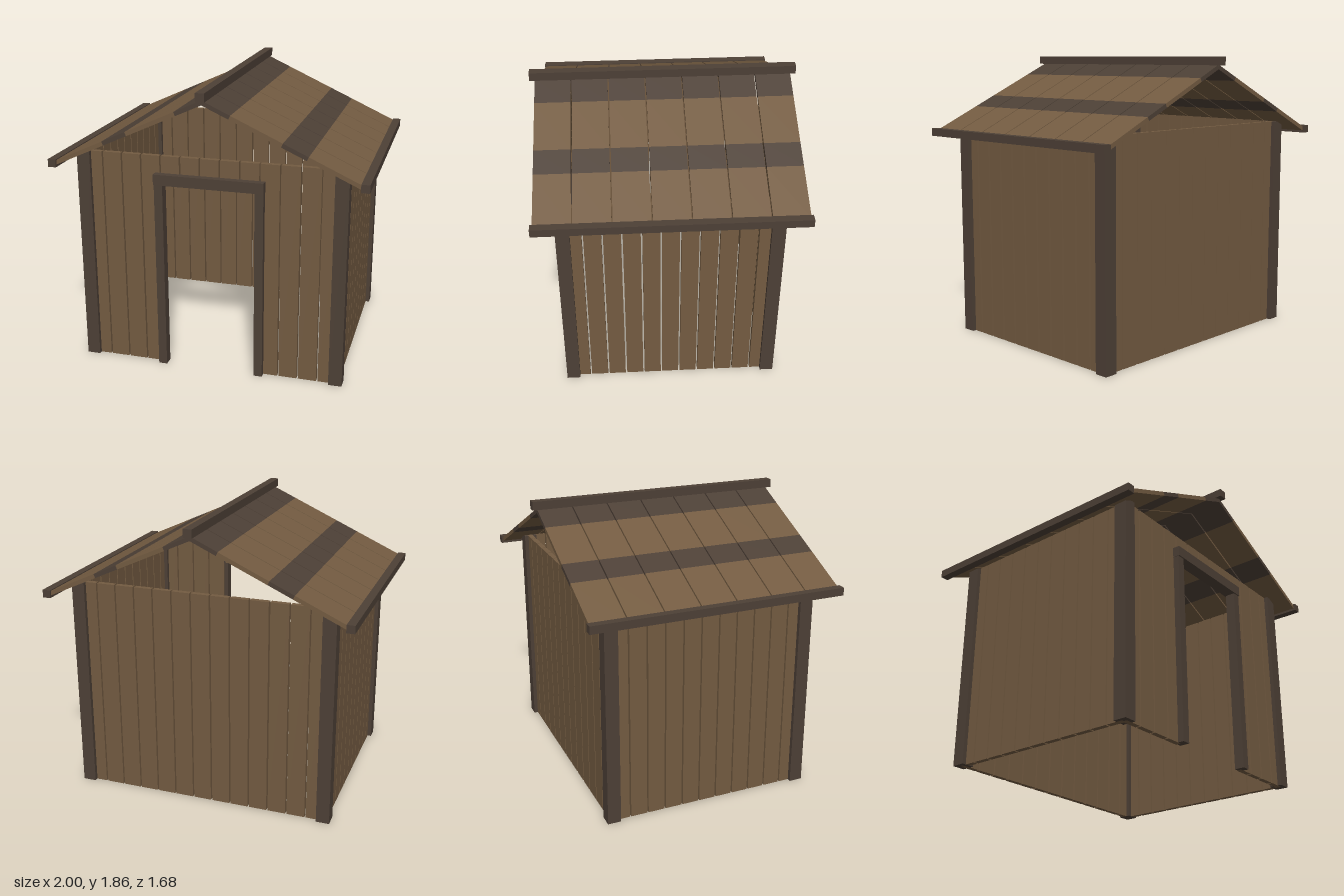
import * as THREE from 'three';

const wood = new THREE.MeshStandardMaterial({ color: 0x735b41 });
wood.name = 'plankBrown';
const dark = new THREE.MeshStandardMaterial({ color: 0x4d4036 });
dark.name = 'beamDarkBrown';

const WALL_TOP = 1.415, POST_X = 0.822, POST_Z = 0.649, POST = 0.086, THICK = 0.034;

// box given by its size and centre
function box(parent, name, material, size, centre) {
  const mesh = new THREE.Mesh(new THREE.BoxGeometry(...size), material);
  mesh.position.set(...centre);
  mesh.name = name;
  parent.add(mesh);
  return mesh;
}

function group(parent, name) {
  const g = new THREE.Group();
  g.name = name;
  parent.add(g);
  return g;
}

// row of upright planks along x; bottomOf(i) gives the foot height of plank i from the middle
function plankWall(parent, name, half, pitch, bottomOf) {
  const wall = group(parent, name);
  for (let i = -half; i <= half; i++) {
    const y0 = bottomOf(i);
    box(wall, 'wallPlank', wood, [pitch - 0.01, WALL_TOP - y0, THICK], [i * pitch, (y0 + WALL_TOP) / 2, 0]);
  }
  return wall;
}

// one roof slope towards +x; each board carries two dark bands
function roofSlope(parent, name) {
  const slope = group(parent, name);
  const pitch = 0.2325, angle = Math.atan(0.455), c = Math.cos(angle);
  const bands = [[0, 0.168, dark], [0.168, 0.482, wood], [0.482, 0.635, dark], [0.635, 0.96, wood]];
  for (let i = -3; i <= 3; i++) {
    for (const [x0, x1, material] of bands) {
      const x = (x0 + x1) / 2;
      const part = box(slope, 'roofBoard', material, [(x1 - x0) / c, 0.026, pitch - 0.008],
        [x, 1.797 - 0.455 * x, i * pitch]);
      part.rotation.z = -angle;
    }
  }
  return slope;
}

export function createModel() {
  const hut = new THREE.Group();
  hut.name = 'woodenHut';

  // walls: the front one leaves a doorway below the middle five planks
  plankWall(hut, 'frontWall', 6, 0.1275, i => (Math.abs(i) <= 2 ? 1.24 : 0)).position.z = POST_Z;
  plankWall(hut, 'backWall', 6, 0.1275, () => 0).position.z = -POST_Z;
  for (const s of [1, -1]) {
    const side = plankWall(hut, s > 0 ? 'leftWall' : 'rightWall', 5, 0.1183, () => 0);
    side.rotation.y = s * Math.PI / 2;
    side.position.x = s * POST_X;
  }

  // corner posts
  for (const x of [-POST_X, POST_X]) {
    for (const z of [-POST_Z, POST_Z]) {
      box(hut, 'cornerPost', dark, [POST, WALL_TOP, POST], [x, WALL_TOP / 2, z]);
    }
  }

  // door frame
  const frame = group(hut, 'doorFrame');
  for (const s of [1, -1]) {
    box(frame, 'doorPost', dark, [0.055, 1.24, 0.065], [s * 0.3225, 0.62, 0.673]);
  }
  box(frame, 'doorLintel', dark, [0.704, 0.068, 0.08], [0, 1.272, 0.673]);

  // roof slopes, ridge beam and eave beams
  roofSlope(hut, 'leftRoof');
  roofSlope(hut, 'rightRoof').rotation.y = Math.PI;
  box(hut, 'ridgeBeam', dark, [0.055, 0.054, 1.685], [0, 1.834, 0]);
  for (const s of [1, -1]) {
    box(hut, 'eaveBeam', dark, [0.052, 0.05, 1.645], [s * 0.974, 1.361, 0]);
  }
  return hut;
}
